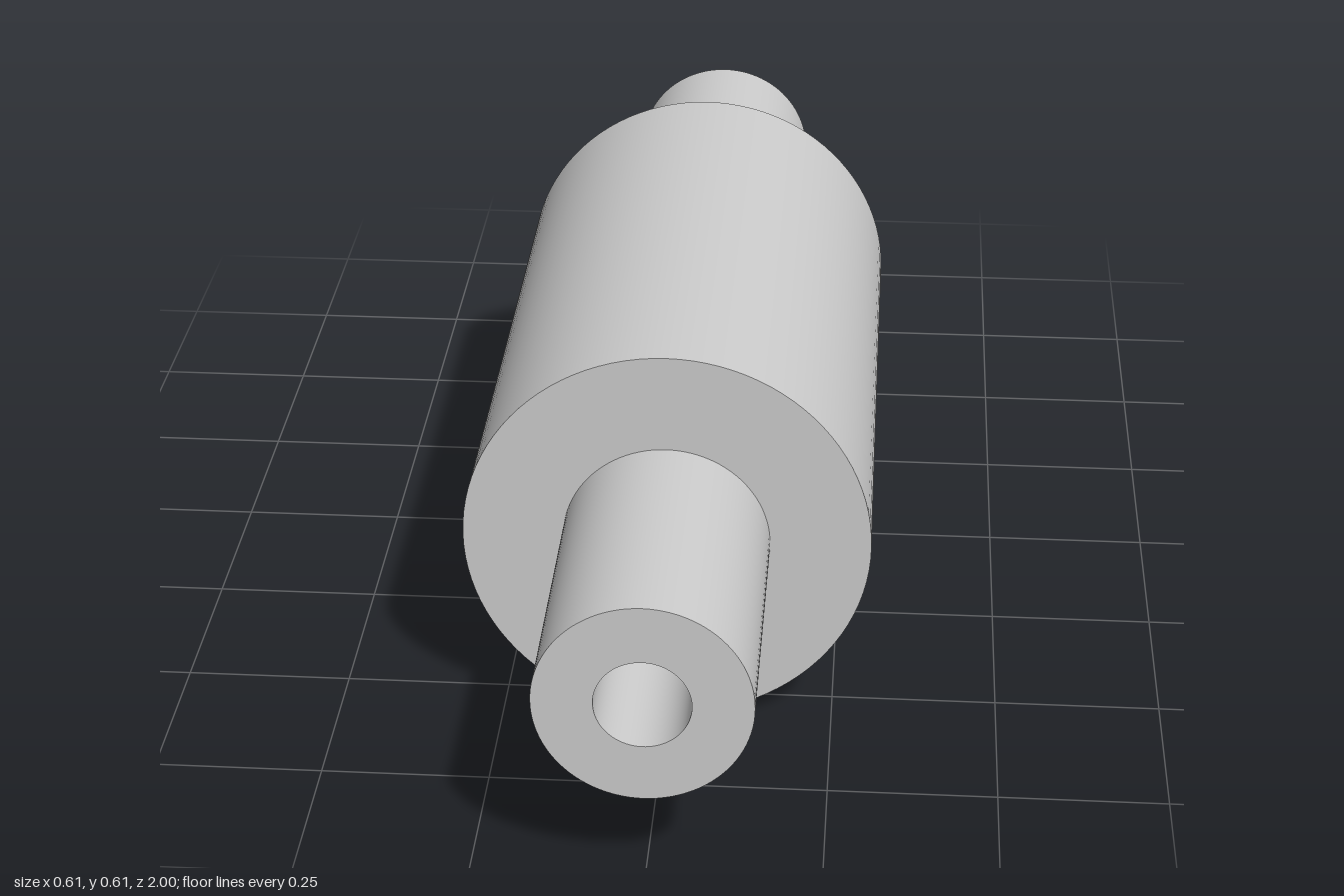
import * as THREE from 'three';
import { mergeGeometries } from 'three/addons/utils/BufferGeometryUtils.js';

const BODY_R = 0.304, SHAFT_R = 0.154, PIN_R = 0.068;

// Turned part along z: each profile segment [radius, z] is its own lathe, so edges stay sharp.
function turned(name, profile, material) {
  const strips = [];
  for (let i = 0; i < profile.length - 1; i++) {
    const pair = [profile[i], profile[i + 1]].map(([r, z]) => new THREE.Vector2(r, z));
    strips.push(new THREE.LatheGeometry(pair, 96));
  }
  const geometry = mergeGeometries(strips);
  geometry.rotateX(Math.PI / 2);
  const mesh = new THREE.Mesh(geometry, material);
  mesh.name = name;
  mesh.position.y = BODY_R;
  return mesh;
}

export function createModel() {
  const steel = new THREE.MeshStandardMaterial({ color: 0xcccccc });
  steel.name = 'light grey steel';

  const model = new THREE.Group();
  model.name = 'steppedRoller';
  model.add(
    // small locating pin at the back
    turned('rearPin', [[0, -1], [PIN_R, -1], [PIN_R, -0.915]], steel),
    // rear journal with its shoulder around the pin
    turned('rearShaft', [[PIN_R, -0.915], [SHAFT_R, -0.915], [SHAFT_R, -0.397]], steel),
    // wide drum with both annular end faces
    turned('drum', [[SHAFT_R, -0.397], [BODY_R, -0.397], [BODY_R, 0.56], [SHAFT_R, 0.56]], steel),
    // front journal with a blind bore
    turned('frontShaft', [[SHAFT_R, 0.56], [SHAFT_R, 1], [PIN_R, 1], [PIN_R, 0.56], [0, 0.56]], steel)
  );
  return model;
}
